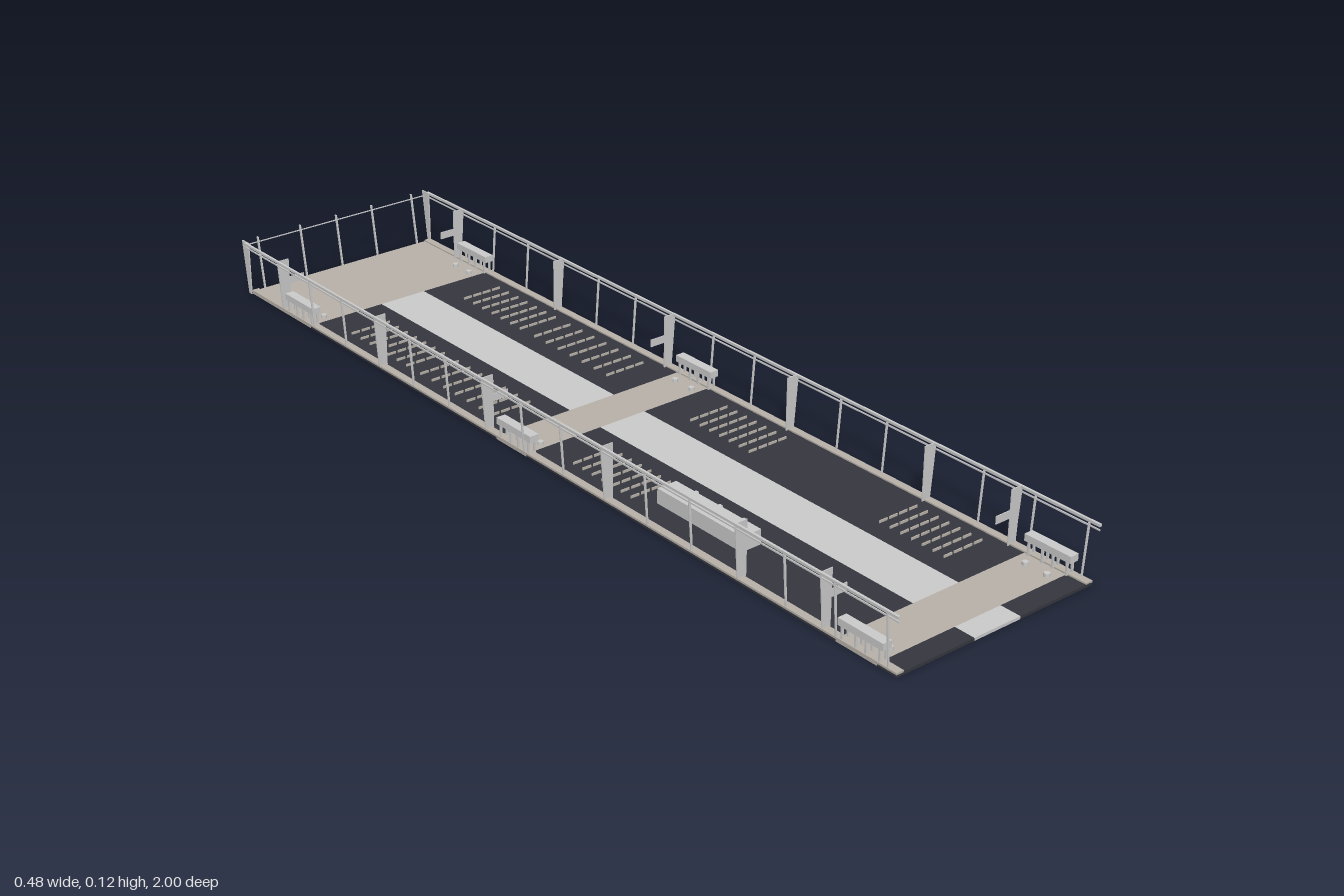
import * as THREE from 'three';

const mat = (color) => new THREE.MeshStandardMaterial({ color, flatShading: true });

export function createModel() {
  const root = new THREE.Group();
  const grey = mat(0xcccccc);
  const dark = mat(0x36373e);
  const stone = mat(0xb8b2a9);

  function group(name, parent = root) {
    const g = new THREE.Group();
    g.name = name;
    parent.add(g);
    return g;
  }
  // Box given by its lower and upper limits on each axis
  function box(name, parent, m, x0, x1, y0, y1, z0, z1) {
    const mesh = new THREE.Mesh(new THREE.BoxGeometry(x1 - x0, y1 - y0, z1 - z0), m);
    mesh.position.set((x0 + x1) / 2, (y0 + y1) / 2, (z0 + z1) / 2);
    mesh.name = name;
    parent.add(mesh);
    return mesh;
  }
  // Thin upright plate with an outline in the xy plane
  function plate(points, depth = 0.002) {
    const shape = new THREE.Shape(points.map(([x, y]) => new THREE.Vector2(x, y)));
    const geo = new THREE.ExtrudeGeometry(shape, { depth, bevelEnabled: false });
    return geo.translate(0, 0, -depth / 2);
  }

  // Deck: road lanes, centre strip, cross bands and the end platform
  const deck = group('deck');
  const bands = [[-0.975, -0.742], [-0.085, 0.01], [0.855, 0.952]];
  const lanes = [[-0.742, -0.085], [0.01, 0.855], [0.952, 0.997]];
  for (const [z0, z1] of bands) box('crossBand', deck, stone, -0.233, 0.233, 0, 0.006, z0, z1);
  for (const [z0, z1] of lanes) {
    box('centreStrip', deck, grey, -0.055, 0.055, 0, 0.006, z0, z1);
    for (const s of [-1, 1]) {
      const [a, b] = s < 0 ? [-0.233, -0.055] : [0.055, 0.233];
      box('darkLane', deck, dark, a, b, 0, 0.006, z0, z1);
    }
  }
  for (const s of [-1, 1])
    box('edgeCurb', deck, stone, s * 0.226 - 0.008, s * 0.226 + 0.008, 0.005, 0.009, -0.975, 0.997);

  // Side railings
  const widePost = plate([[0.213, 0.006], [0.233, 0.006], [0.235, 0.05], [0.241, 0.118], [0.213, 0.118]]);
  const thinPost = plate([[0.229, 0.006], [0.233, 0.006], [0.241, 0.112], [0.236, 0.112]]);
  const signPlate = plate([[0.178, 0.061], [0.215, 0.061], [0.215, 0.077], [0.178, 0.077]]);
  const wideZ = [0.82, 0.61, 0.245, -0.12, -0.485, -0.85];
  const signZ = [0.82, -0.12, -0.85];
  for (const s of [-1, 1]) {
    const side = group(s > 0 ? 'leftRailing' : 'rightRailing');
    const add = (name, geo, z) => {
      const mesh = new THREE.Mesh(geo, grey);
      mesh.position.z = z;
      mesh.rotation.y = s < 0 ? Math.PI : 0;
      mesh.name = name;
      side.add(mesh);
    };
    wideZ.forEach((z) => add('widePost', widePost, z));
    signZ.forEach((z) => add('signPlate', signPlate, z));
    for (let i = 0; i < 16; i++) add('thinPost', thinPost, 0.975 - i * 0.1217);
    box('topRail', side, grey, s * 0.2385 - 0.0025, s * 0.2385 + 0.0025, 0.113, 0.118, -0.985, 1);
    box('lowerRail', side, grey, s * 0.2375 - 0.001, s * 0.2375 + 0.001, 0.105, 0.108, -0.985, 1);
  }

  // Back railing: plates standing along z, with a wire between the corners
  const back = group('backRailing');
  const endPost = plate([[0.975, 0], [0.984, 0], [1, 0.118], [0.975, 0.118]], 0.003);
  const backPost = plate([[0.975, 0], [0.98, 0], [0.998, 0.118], [0.993, 0.118]], 0.003);
  for (const x of [-0.235, -0.2, -0.093, 0, 0.093, 0.2, 0.235]) {
    const corner = Math.abs(x) > 0.21;
    const mesh = new THREE.Mesh(corner ? endPost : backPost, grey);
    mesh.position.x = x;
    mesh.rotation.y = Math.PI / 2;
    mesh.name = corner ? 'cornerPost' : 'backPost';
    back.add(mesh);
  }
  box('backWire', back, grey, -0.238, 0.238, 0.106, 0.108, -0.995, -0.993);

  // Raised benches on legs and low bollards beside each cross band
  const bollardGeo = new THREE.CylinderGeometry(0.006, 0.006, 0.008, 10);
  for (const s of [-1, 1]) {
    for (const z of [0.91, -0.03, -0.785]) {
      const bench = group('bench');
      const x = s * 0.223;
      box('benchTop', bench, grey, x - 0.01, x + 0.01, 0.033, 0.047, z - 0.053, z + 0.053);
      for (const dz of [-0.044, -0.012, 0.012, 0.044])
        for (const dx of [-0.007, 0.007])
          box('benchLeg', bench, grey, x + dx - 0.002, x + dx + 0.002, 0.006, 0.033,
            z + dz - 0.002, z + dz + 0.002);
      for (const dz of [-0.025, 0.025]) {
        const bollard = new THREE.Mesh(bollardGeo, grey);
        bollard.name = 'bollard';
        bollard.position.set(s * 0.188, 0.009, z + dz);
        root.add(bollard);
      }
    }
  }

  // Fields of small low bars on the lanes
  const clusters = [
    [-1, 0.1, 0.27], [-1, -0.4, -0.16], [-1, -0.65, -0.45],
    [1, 0.62, 0.78], [1, 0.1, 0.27], [1, -0.4, -0.16], [1, -0.65, -0.45],
  ];
  for (const [s, z0, z1] of clusters) {
    const field = group('barField');
    const rows = 7;
    for (let r = 0; r < rows; r++) {
      const z = z0 + ((z1 - z0) * r) / (rows - 1);
      for (let c = 0; c < 4; c++) {
        const x = s * (0.106 + c * 0.025);
        box('lowBar', field, stone, x - 0.01, x + 0.01, 0.006, 0.011, z - 0.001, z + 0.001);
      }
    }
  }

  // Equipment cabinet with small knobs on its inner face
  const cabinet = group('cabinet');
  box('cabinetBody', cabinet, grey, -0.17, -0.125, 0.01, 0.041, 0.32, 0.55);
  box('cabinetFoot', cabinet, grey, -0.163, -0.132, 0.005, 0.01, 0.33, 0.54);
  for (const z of [0.37, 0.435, 0.5])
    box('cabinetKnob', cabinet, grey, -0.126, -0.117, 0.031, 0.038, z - 0.004, z + 0.004);

  return root;
}
